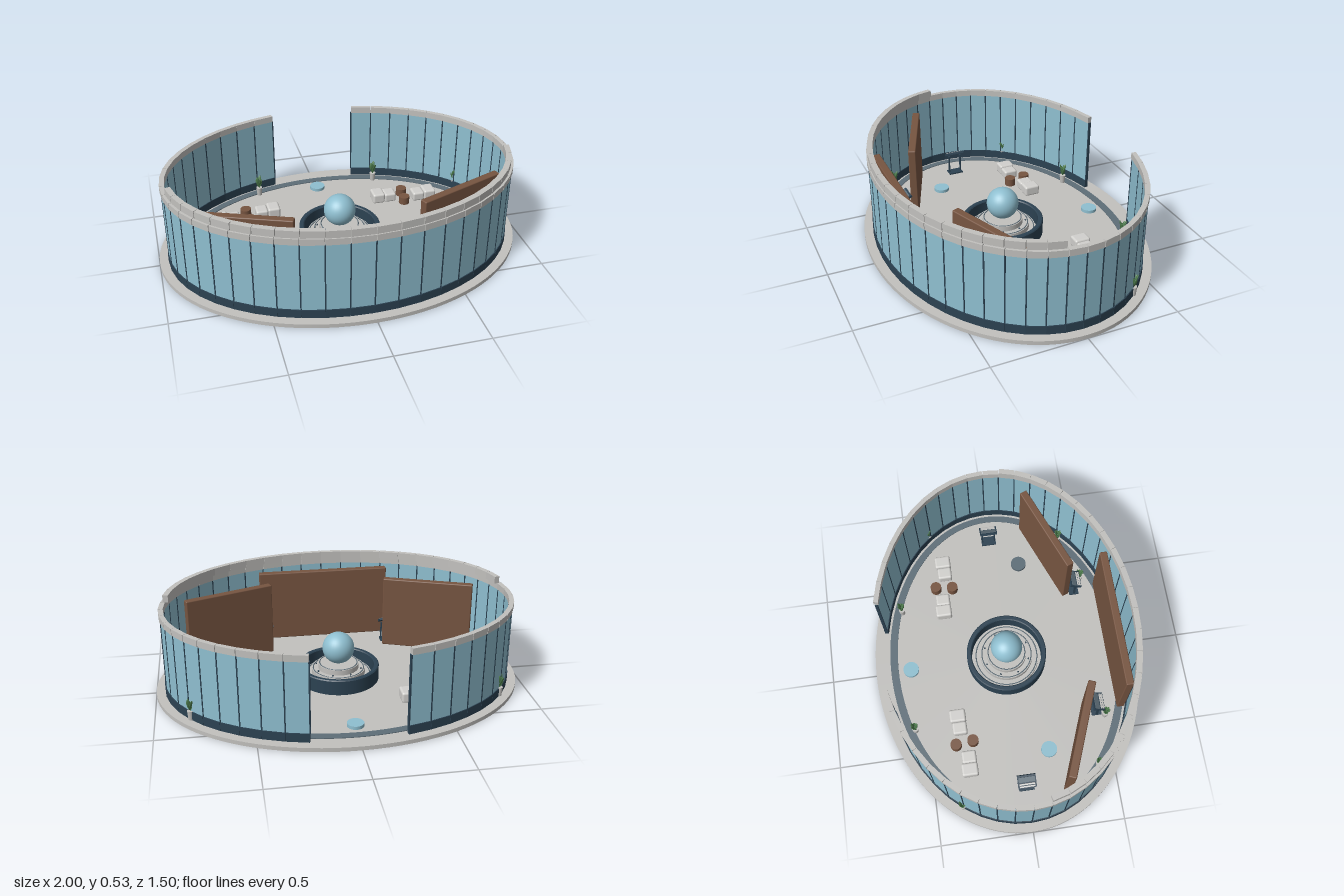
import * as THREE from 'three';
import { RoundedBoxGeometry } from 'three/addons/geometries/RoundedBoxGeometry.js';

const mat = (name, color) => Object.assign(new THREE.MeshStandardMaterial({ color }), { name });
const FLOOR = 0.022;

export function createModel() {
  const stone = mat('stone', 0xc2c1be);
  const cushion = mat('cushion', 0xd2d1ce);
  const glass = mat('glass', 0x8fbfd0);
  const navy = mat('navy', 0x2c4252);
  const slate = mat('slate', 0x5e6e78);
  const wood = mat('wood', 0x775541);
  const leaf = mat('leaf', 0x4c7a4c);

  const root = new THREE.Group();
  root.name = 'ovalPavilion';

  const add = (parent, name, geo, material, x = 0, y = 0, z = 0) => {
    const m = new THREE.Mesh(geo, material);
    m.name = name;
    m.position.set(x, y, z);
    parent.add(m);
    return m;
  };
  const group = (name, x, z, angle = 0) => {
    const g = new THREE.Group();
    g.name = name;
    g.position.set(x, FLOOR, z);
    g.rotation.y = angle;
    root.add(g);
    return g;
  };
  const box = (w, h, d) => new THREE.BoxGeometry(w, h, d);
  const cyl = (r, h, r2 = r, n = 40) => new THREE.CylinderGeometry(r, r2, h, n);

  // Oval floor slab
  const slab = add(root, 'floorSlab', cyl(1, FLOOR, 1, 96), stone, 0, FLOOR / 2, 0);
  slab.scale.z = 0.75;

  // Inlaid band running around the floor
  const bandShape = new THREE.Shape().absellipse(0, 0, 0.915, 0.665, 0, Math.PI * 2);
  bandShape.holes.push(new THREE.Path().absellipse(0, 0, 0.878, 0.622, 0, Math.PI * 2, true));
  const band = add(root, 'floorBand',
    new THREE.ExtrudeGeometry(bandShape, { depth: 0.004, bevelEnabled: false, curveSegments: 64 }),
    slate, 0, FLOOR, 0);
  band.rotation.x = -Math.PI / 2;

  // Curved wall: 48 segments around the oval, four left open at the back
  const SEG = 48;
  const at = (rx, rz, i) => {
    const t = (i / SEG) * Math.PI * 2;
    return new THREE.Vector2(rx * Math.sin(t), -rz * Math.cos(t));
  };
  const wall = new THREE.Group();
  wall.name = 'wall';
  root.add(wall);
  const wallPiece = (name, i, rx, rz, y0, y1, depth, material, gap = 0) => {
    const a = at(rx, rz, i), b = at(rx, rz, i + 1);
    const m = add(wall, name, box(a.distanceTo(b) - gap, y1 - y0, depth), material,
      (a.x + b.x) / 2, (y0 + y1) / 2, (a.y + b.y) / 2);
    m.rotation.y = -Math.atan2(b.y - a.y, b.x - a.x);
  };
  for (let i = 2; i < SEG - 2; i++) {
    wallPiece('plinthBlock', i, 0.942, 0.69, FLOOR, 0.07, 0.022, navy);
    wallPiece('glassPanel', i, 0.942, 0.69, 0.07, 0.455, 0.012, glass);
    wallPiece('copingBlock', i, 0.942, 0.69, 0.455, 0.49, 0.026, stone, 0.002);
    // Upper course only on the front half
    if (at(0.925, 0.68, i + 0.5).y > 0.09) {
      wallPiece('upperCopingBlock', i, 0.925, 0.682, 0.49, 0.53, 0.03, stone, 0.002);
    }
  }
  for (let i = 2; i <= SEG - 2; i++) {
    const p = at(0.942, 0.69, i), q = at(0.942, 0.69, i + 0.1);
    const m = add(wall, 'mullion', box(0.007, 0.385, 0.016), navy, p.x, 0.2625, p.y);
    m.rotation.y = -Math.atan2(q.y - p.y, q.x - p.x);
  }

  // Timber display walls
  add(root, 'frontTimberWall', new RoundedBoxGeometry(0.77, 0.42, 0.042, 2, 0.006), wood, 0, FLOOR + 0.21, 0.593);
  for (const s of [-1, 1]) {
    const g = group('sideTimberWall', s * 0.577, 0.308, s * 0.37);
    add(g, 'timberPanel', new RoundedBoxGeometry(0.52, 0.42, 0.042, 2, 0.006), wood, 0, 0.21, 0);
  }

  // Central fountain: basin rim, stepped tiers with edge rings, globe
  const fountain = group('fountain', 0, 0);
  const rim = [[0.198, 0], [0.225, 0], [0.225, 0.08], [0.22, 0.085], [0.203, 0.085], [0.198, 0.08], [0.198, 0]];
  const pts = rim.flatMap(([x, y], i) => (i ? [new THREE.Vector2(x, y), new THREE.Vector2(x, y)] : [new THREE.Vector2(x, y)]));
  add(fountain, 'basinRim', new THREE.LatheGeometry(pts, 64), navy);
  [[0.182, 0.03], [0.148, 0.06], [0.112, 0.09]].forEach(([r, h]) => {
    add(fountain, 'tier', cyl(r, h, r, 64), stone, 0, h / 2, 0);
    const ring = add(fountain, 'tierRing', new THREE.TorusGeometry(r - 0.008, 0.003, 8, 64), slate, 0, h, 0);
    ring.rotation.x = Math.PI / 2;
  });
  add(fountain, 'globe', new THREE.SphereGeometry(0.088, 32, 24), glass, 0, 0.178, 0);
  for (let i = 0; i < 8; i++) {
    const t = ((i + 0.5) / 8) * Math.PI * 2;
    add(fountain, 'jet', new THREE.SphereGeometry(0.005, 10, 8), navy,
      Math.cos(t) * 0.128, 0.066, Math.sin(t) * 0.128);
  }

  // Low floor discs
  [[0, -0.55, glass], [-0.57, 0.155, glass], [0.57, 0.155, slate]].forEach(([x, z, m]) =>
    add(root, 'floorDisc', cyl(0.044, 0.018), m, x, FLOOR + 0.009, z));

  // Lounge seats: two rounded blocks each, one slightly larger
  const lounge = (x, z, s) => {
    const g = group('loungeSeat', x, z);
    add(g, 'largeCushion', new RoundedBoxGeometry(0.072, 0.06, 0.09, 3, 0.012), cushion, s * 0.036, 0.03, 0);
    add(g, 'smallCushion', new RoundedBoxGeometry(0.07, 0.054, 0.08, 3, 0.012), cushion, -s * 0.034, 0.027, 0.004);
  };

  // Information consoles: legs, sloping keyboard desk, tilted screen
  const consoleDesk = (x, z, angle) => {
    const g = group('console', x, z, angle);
    add(g, 'consoleBase', box(0.085, 0.008, 0.055), navy, 0, 0.004, 0);
    for (const s of [-1, 1]) {
      add(g, 'consoleLeg', box(0.007, 0.11, 0.012), navy, s * 0.036, 0.06, 0);
    }
    const top = new THREE.Group();
    top.name = 'consoleTop';
    top.position.y = 0.13;
    top.rotation.x = 0.5;
    g.add(top);
    add(top, 'consoleSlab', box(0.1, 0.012, 0.072), navy);
    add(top, 'consoleScreen', box(0.088, 0.005, 0.028), slate, 0, 0.007, -0.012);
    for (let i = 0; i < 2; i++) {
      add(top, 'keyRow', box(0.084, 0.006, 0.008), cushion, 0, 0.008, 0.013 + i * 0.013);
    }
  };

  // Potted plants: tapered pot with a ring of upright leaves
  const plant = (x, z) => {
    const g = group('pottedPlant', x, z);
    add(g, 'pot', cyl(0.018, 0.05, 0.014, 16), stone, 0, 0.025, 0);
    add(g, 'stem', cyl(0.003, 0.04, 0.003, 8), leaf, 0, 0.065, 0);
    for (let i = 0; i < 6; i++) {
      const t = (i / 6) * Math.PI * 2;
      const blade = add(g, 'leaf', new THREE.SphereGeometry(1, 10, 8), leaf,
        Math.cos(t) * 0.011, 0.078 + (i % 3) * 0.01, Math.sin(t) * 0.011);
      blade.scale.set(0.005, 0.026, 0.01);
      blade.rotation.set(0, -t, -0.3, 'YXZ');
    }
  };

  for (const s of [-1, 1]) {
    lounge(s * 0.59, -0.292, s);
    lounge(s * 0.354, -0.322, -s);
    add(root, 'sideTable', cyl(0.031, 0.045), wood, s * 0.476, FLOOR + 0.0225, -0.35);
    add(root, 'sideTable', cyl(0.031, 0.045), wood, s * 0.465, FLOOR + 0.0225, -0.255);
    consoleDesk(s * 0.75, 0, s * Math.PI / 2);
    consoleDesk(s * 0.372, 0.452, 0);
    [[0.358, -0.562], [0.815, -0.355], [0.692, 0.41], [0.42, 0.495]].forEach(([x, z]) => plant(s * x, z));
  }

  return root;
}
